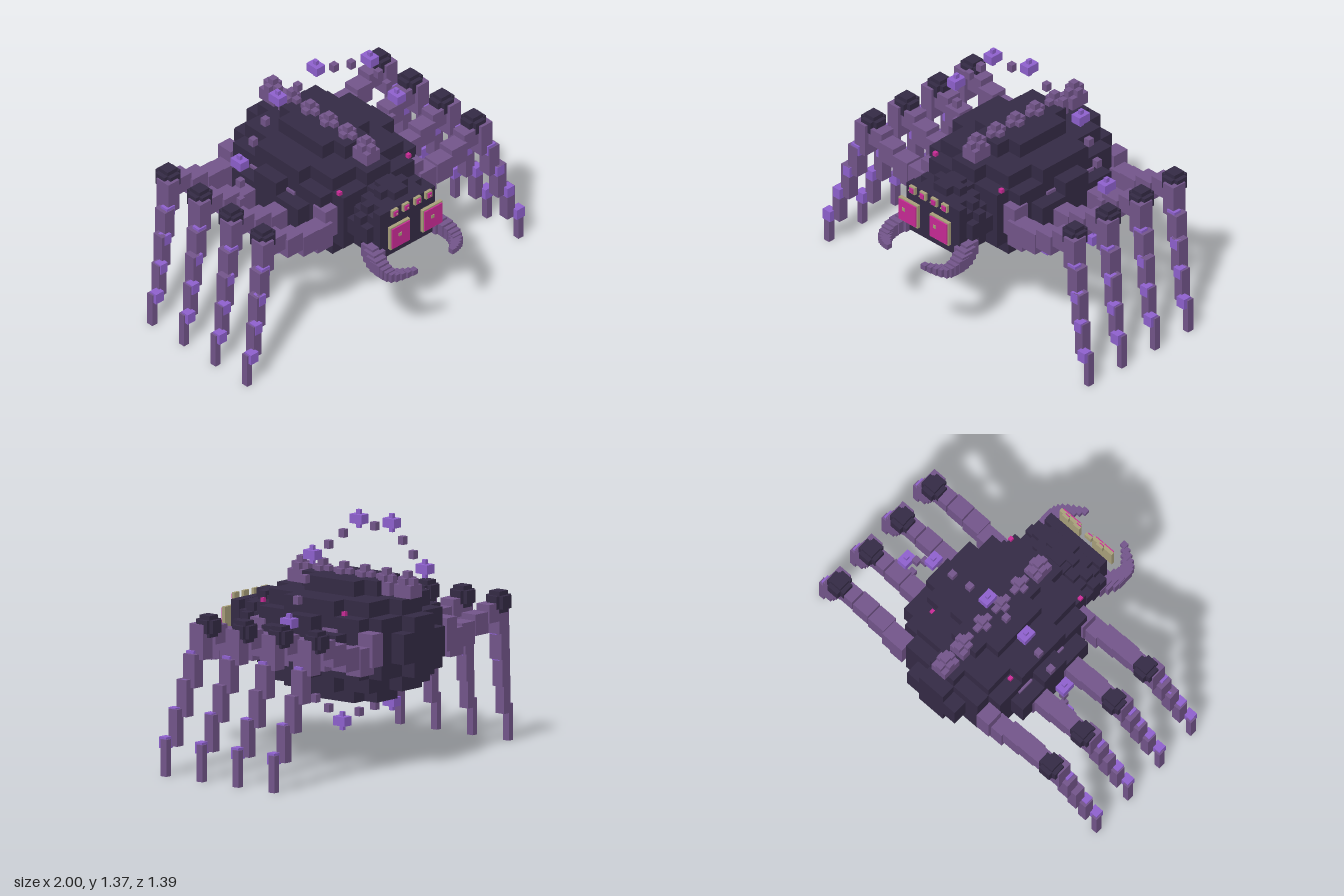
import * as THREE from 'three';
import { mergeGeometries } from 'three/addons/utils/BufferGeometryUtils.js';

const mat = (name, color) => {
  const m = new THREE.MeshStandardMaterial({ color });
  m.name = name;
  return m;
};

export function createModel() {
  const shell = mat('dark shell', 0x352b46);
  const limb = mat('purple limb', 0x74568c);
  const crystal = mat('bright crystal', 0x9062d0);
  const pink = mat('pink eye', 0xcb2b98);
  const bone = mat('bone frame', 0xaaa17c);

  const model = new THREE.Group();
  const box = (w, h, d, x, y, z) => new THREE.BoxGeometry(w, h, d).translate(x, y, z);
  const add = (parent, name, material, geos) => {
    const mesh = new THREE.Mesh(mergeGeometries(geos), material);
    mesh.name = name;
    parent.add(mesh);
    return mesh;
  };

  // Blocky ellipsoid: cells inside the unit sphere, joined into bars along z
  const blocky = (nx, ny, nz, size, centre) => {
    const [w, h, d] = size;
    const [cx, cy, cz] = centre;
    const at = (i, n) => ((i + 0.5) * 2) / n - 1;
    const geos = [];
    for (let i = 0; i < nx; i++) {
      for (let j = 0; j < ny; j++) {
        const u = at(i, nx), v = at(j, ny);
        let count = 0;
        for (let k = 0; k < nz; k++) if (u * u + v * v + at(k, nz) ** 2 <= 1) count++;
        if (count) {
          geos.push(box(w / nx, h / ny, (d * count) / nz, cx + (u * w) / 2, cy + (v * h) / 2, cz));
        }
      }
    }
    return geos;
  };

  // Body and head
  add(model, 'body', shell, blocky(10, 8, 12, [0.855, 0.656, 1.03], [0, 0.68, -0.18]));
  add(model, 'head', shell, [
    ...blocky(10, 8, 5, [0.49, 0.38, 0.26], [0, 0.678, 0.345]),
    box(0.4, 0.29, 0.055, 0, 0.677, 0.446),
  ]);

  // Spines along the back
  for (let i = 0; i < 6; i++) {
    const z = 0.15 - i * 0.146;
    add(model, 'backSpine', limb, [
      box(0.095, 0.105, 0.04, 0, 0.983, z),
      box(0.036, 0.105, 0.115, 0, 0.983, z),
      box(0.095, 0.07, 0.115, 0, 0.965, z),
      box(0.04, 0.14, 0.04, 0, 1.0, z),
    ]);
  }

  // Eyes: framed plates with a small glint
  const eye = (name, x, y, z, w, h, depth, glint) => {
    const g = new THREE.Group();
    g.name = name;
    add(g, 'eyeFrame', bone, [box(w, h, depth, x, y, z)]);
    add(g, 'eyePlate', pink, [box(w - 0.016, h - 0.016, 0.008, x, y, z + depth / 2 + 0.004)]);
    add(g, 'eyeGlint', bone, [box(glint, glint, 0.004, x - w * 0.12, y + h * 0.14, z + depth / 2 + 0.018)]);
    model.add(g);
  };
  for (const s of [-1, 1]) {
    eye('largeEye', s * 0.117, 0.7, 0.535, 0.142, 0.142, 0.02, 0.02);
    for (const x of [0.042, 0.122]) eye('smallEye', s * x, 0.824, 0.504, 0.044, 0.044, 0.017, 0.008);
    // Side gems on the shell
    add(model, 'shellGem', pink, [
      box(0.022, 0.022, 0.022, s * 0.25, 0.857, 0.21),
      box(0.022, 0.022, 0.022, s * 0.28, 0.855, -0.375),
    ]);
  }

  // Mandibles: shrinking blocks along an inward curve
  for (const s of [-1, 1]) {
    const curve = new THREE.CatmullRomCurve3([
      [0.2, 0.572, 0.42], [0.24, 0.55, 0.49], [0.247, 0.53, 0.55],
      [0.232, 0.518, 0.6], [0.19, 0.525, 0.64], [0.142, 0.54, 0.675],
    ].map(([x, y, z]) => new THREE.Vector3(s * x, y, z)));
    const blocks = [];
    for (let i = 0; i < 11; i++) {
      const p = curve.getPoint(i / 10), size = 0.09 - i * 0.0057;
      blocks.push(box(size, size * 0.9, size, p.x, p.y, p.z));
    }
    add(model, 'mandible', limb, blocks);
  }

  // Legs: width, height, depth, x, y, z offset from the knee
  const thigh = [
    [0.085, 0.18, 0.1, 0.312, 0.69, 0],
    [0.11, 0.15, 0.1, 0.375, 0.635, 0.02],
    [0.11, 0.125, 0.1, 0.485, 0.662, 0.03],
    [0.11, 0.115, 0.098, 0.595, 0.7, 0.025],
    [0.1, 0.1, 0.09, 0.695, 0.745, 0.012],
  ];
  const shin = [
    [0.08, 0.19, 0.092, 0.79, 0.715, 0.03],
    [0.07, 0.18, 0.08, 0.832, 0.56, 0.05],
    [0.062, 0.2, 0.068, 0.872, 0.415, 0.072],
    [0.054, 0.2, 0.06, 0.918, 0.258, 0.097],
    [0.036, 0.2, 0.04, 0.982, 0.1, 0.115],
  ];
  const studs = [
    [0.058, 0.06, 0.05, 0.818, 0.635, 0.06],
    [0.05, 0.06, 0.05, 0.862, 0.485, 0.082],
    [0.05, 0.06, 0.05, 0.912, 0.335, 0.108],
    [0.056, 0.062, 0.05, 0.963, 0.18, 0.13],
  ];
  for (const s of [-1, 1]) {
    for (let i = 0; i < 4; i++) {
      const zk = 0.165 - i * 0.248;
      const leg = new THREE.Group();
      leg.name = 'leg';
      const place = ([w, h, d, x, y, z]) => box(w, h, d, s * x, y, zk + z);
      add(leg, 'thigh', limb, thigh.map(place));
      add(leg, 'shin', limb, shin.map(place));
      add(leg, 'legStuds', crystal, studs.map(place));
      add(leg, 'knee', shell, blocky(5, 5, 5, [0.118, 0.118, 0.118], [s * 0.762, 0.797, zk]));
      model.add(leg);
    }
  }

  // Floating ring: every third piece is a crystal
  const ring = new THREE.Group();
  ring.name = 'floatingRing';
  for (let i = 0; i < 26; i++) {
    const a = (i / 26) * Math.PI * 2;
    const big = i % 3 === 0 && i < 25;
    const x = Math.sin(a) * (big ? 0.59 : 0.55);
    const y = 0.77 + Math.cos(a) * (big ? 0.545 : 0.5);
    if (big) {
      add(ring, 'ringCrystal', crystal, [
        box(0.06, 0.05, 0.08, x, y, -0.245),
        box(0.02, 0.1, 0.025, x, y, -0.245),
      ]);
    } else {
      add(ring, 'ringBead', limb, [box(0.036, 0.044, 0.036, x, y, -0.245)]);
    }
  }
  model.add(ring);
  return model;
}
